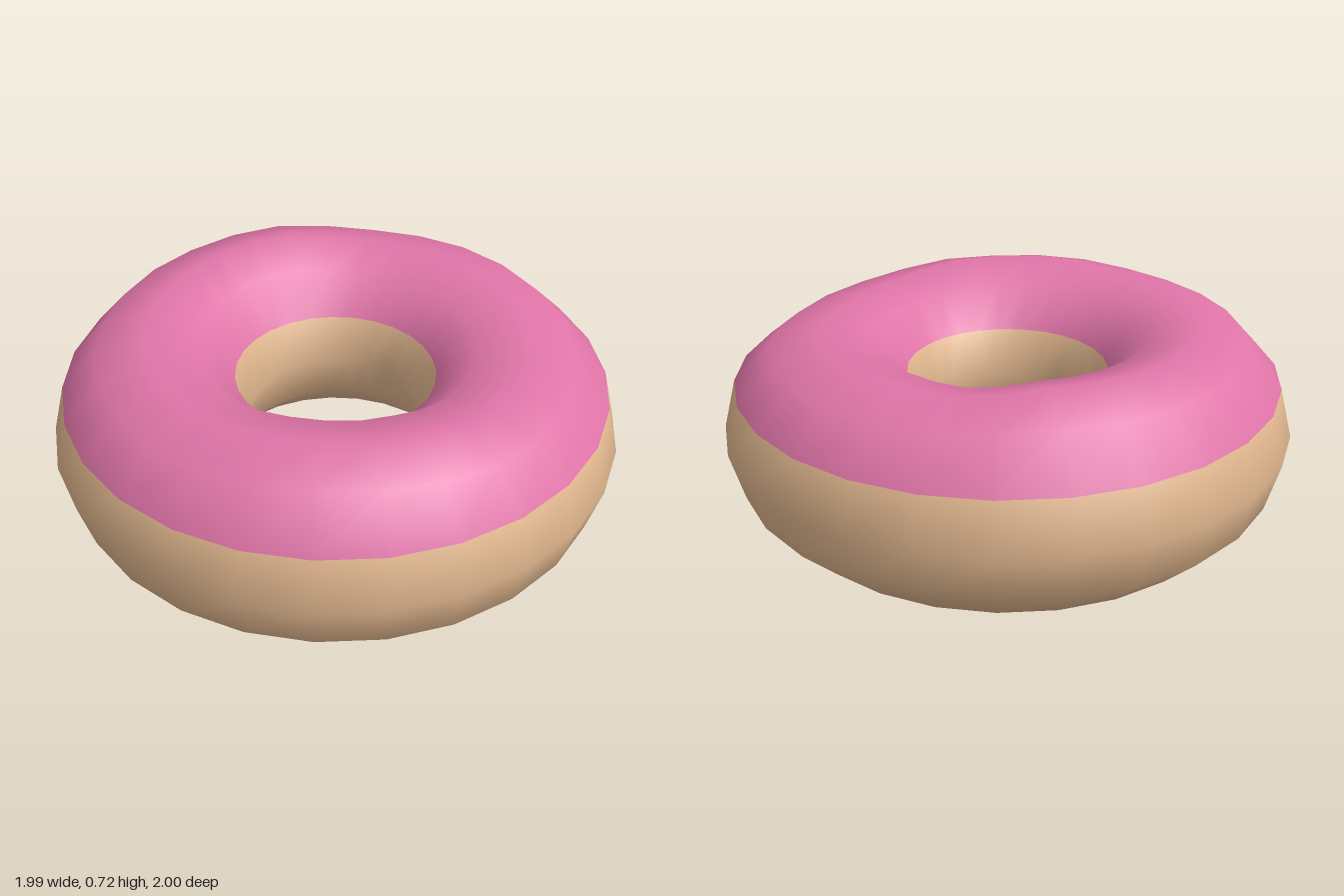
import * as THREE from 'three';
import { mergeVertices } from 'three/addons/utils/BufferGeometryUtils.js';

const RING = 0.655, TUBE = 0.345;
// uneven icing height every 30 degrees, from +x towards +z
const WAVES = [-0.02, 0.018, 0.027, 0.01, 0.012, 0.014, 0.025, 0.035, 0, 0.008, -0.008, -0.033];

function wave(angle) {
  const n = WAVES.length;
  const t = ((angle / (2 * Math.PI)) * n + n) % n;
  const i = Math.floor(t) % n;
  const s = (1 - Math.cos((t - Math.floor(t)) * Math.PI)) / 2;
  return THREE.MathUtils.lerp(WAVES[i], WAVES[(i + 1) % n], s);
}

export function createModel() {
  const group = new THREE.Group();
  group.name = 'donut';

  // one welded ring, so shading stays smooth across the icing edge
  let ring = new THREE.TorusGeometry(RING, TUBE, 12, 27);
  ring.rotateX(-Math.PI / 2);
  ring.translate(0, TUBE, 0);
  ring.deleteAttribute('uv');
  ring.deleteAttribute('normal');
  ring = mergeVertices(ring, 1e-4);

  // raise and lower the upper rows only
  const pos = ring.attributes.position;
  for (let i = 0; i < pos.count; i++) {
    const y = pos.getY(i);
    if (y < 0.55) continue;
    const amount = y > 0.67 ? 1 : 0.8;
    pos.setY(i, y + amount * wave(Math.atan2(pos.getZ(i), pos.getX(i))));
  }
  ring.computeVertexNormals();

  // share the faces out between dough and icing
  const dough = [], icing = [];
  const index = ring.index.array;
  for (let i = 0; i < index.length; i += 3) {
    const face = [index[i], index[i + 1], index[i + 2]];
    const onTop = face.every((v) => pos.getY(v) > 0.5);
    (onTop ? icing : dough).push(...face);
  }

  const addPart = (name, faces, color) => {
    const geometry = ring.clone();
    geometry.setIndex(faces);
    const mesh = new THREE.Mesh(geometry, new THREE.MeshStandardMaterial({ color }));
    mesh.name = name;
    group.add(mesh);
  };
  addPart('dough', dough, 0xdeb48c);
  addPart('icing', icing, 0xe075a8);
  return group;
}
